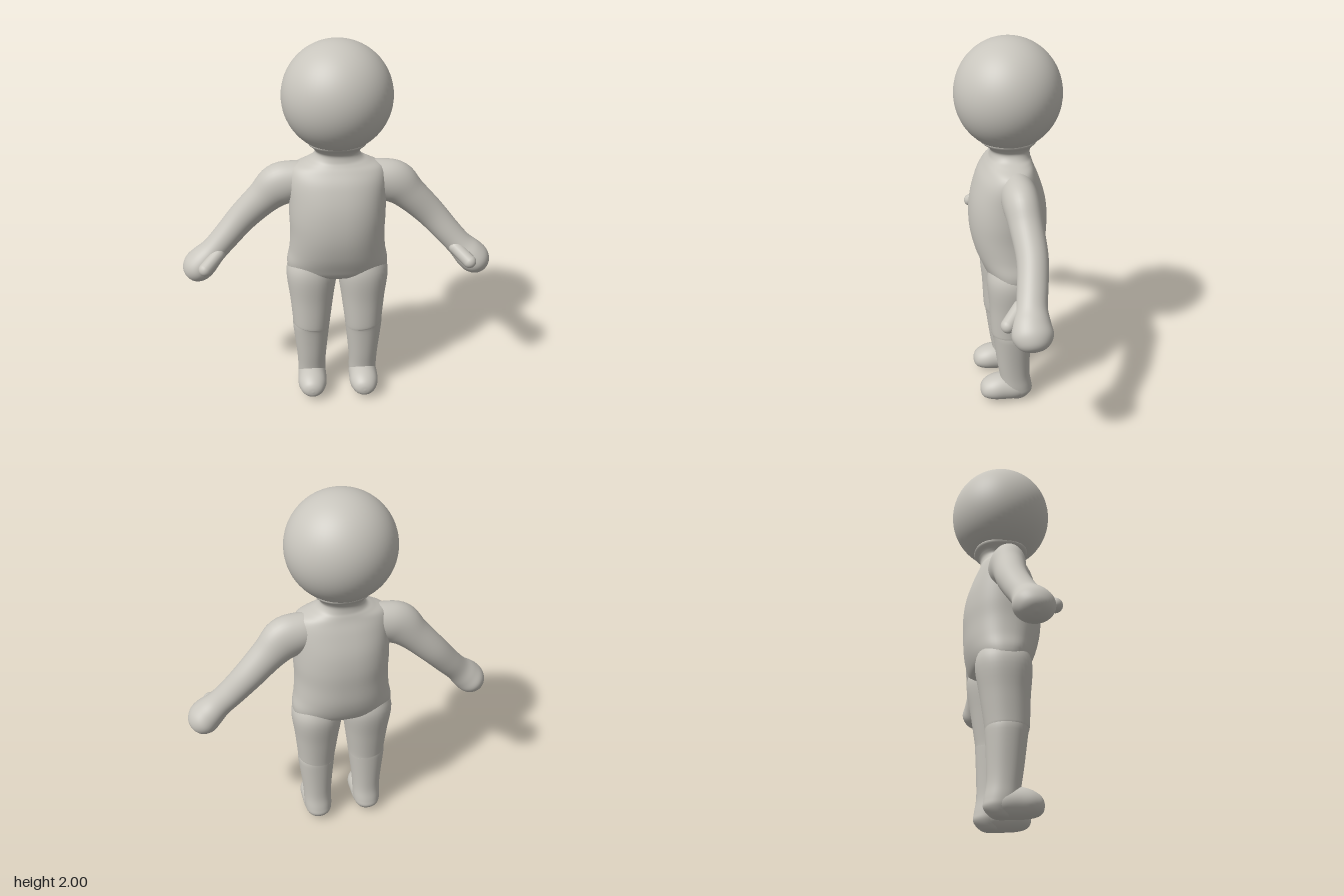
import * as THREE from 'three';
import { mergeVertices } from 'three/addons/utils/BufferGeometryUtils.js';

const skin = new THREE.MeshStandardMaterial({ color: 0xc8c5bd });
skin.name = 'warm grey';

// Smooth skin over rings [x, y, z, radius across the path, radius in z]
function loft(rings, power = 2, around = 40, perRing = 5) {
  const spline = (pts) => new THREE.CatmullRomCurve3(pts, false, 'catmullrom', 0.5);
  const centres = spline(rings.map((r) => new THREE.Vector3(r[0], r[1], r[2])));
  const radii = spline(rings.map((r) => new THREE.Vector3(r[3], r[4], 0)));
  const steps = (rings.length - 1) * perRing;
  const pos = [], index = [];
  const bend = (v) => Math.sign(v) * Math.abs(v) ** (2 / power);
  for (let i = 0; i <= steps; i++) {
    const c = centres.getPoint(i / steps);
    const r = radii.getPoint(i / steps);
    const t = centres.getTangent(i / steps).setZ(0).normalize();
    const a = Math.max(r.x, 0), b = Math.max(r.y, 0);
    for (let j = 0; j < around; j++) {
      const th = (j / around) * Math.PI * 2;
      const u = bend(Math.cos(th)) * a;
      pos.push(c.x + t.y * u, c.y - t.x * u, c.z - bend(Math.sin(th)) * b);
      if (i === steps) continue;
      const k = (j + 1) % around, p = i * around, q = p + around;
      index.push(p + j, p + k, q + j, p + k, q + k, q + j);
    }
  }
  let geo = new THREE.BufferGeometry();
  geo.setAttribute('position', new THREE.Float32BufferAttribute(pos, 3));
  geo.setIndex(index);
  geo = mergeVertices(geo, 1e-5);
  geo.computeVertexNormals();
  return geo;
}

export function createModel() {
  const model = new THREE.Group();
  model.name = 'figure';
  const add = (name, geo, parent = model) => {
    const mesh = new THREE.Mesh(geo, skin);
    mesh.name = name;
    parent.add(mesh);
    return mesh;
  };

  // Head
  const head = add('head', new THREE.SphereGeometry(0.275, 56, 40));
  head.position.y = 1.725;
  head.scale.z = 0.97;

  // Torso with hips below and the neck flaring into the head
  add('torso', loft([
    [0, 0.72, -0.01, 0, 0],
    [0, 0.735, -0.01, 0.15, 0.08],
    [0, 0.77, -0.01, 0.25, 0.13],
    [0, 0.82, -0.01, 0.268, 0.157],
    [0, 0.9, -0.004, 0.254, 0.183],
    [0, 1.0, 0.004, 0.247, 0.197],
    [0, 1.1, 0.005, 0.25, 0.2],
    [0, 1.2, 0.005, 0.25, 0.187],
    [0, 1.3, 0.005, 0.25, 0.155],
    [0, 1.36, 0, 0.23, 0.125],
    [0, 1.39, -0.005, 0.17, 0.11],
    [0, 1.41, -0.007, 0.13, 0.102],
    [0, 1.44, -0.008, 0.112, 0.1],
    [0, 1.465, -0.005, 0.125, 0.115],
    [0, 1.5, 0, 0.15, 0.145],
    [0, 1.55, 0, 0.1, 0.1],
  ], 2.25, 56));

  for (const [side, s] of [['left', 1], ['right', -1]]) {
    const mirror = (rings) => rings.map(([x, ...rest]) => [x * s, ...rest]);

    // Arm from inside the shoulder to a rounded hand
    const arm = new THREE.Group();
    arm.name = side + 'Arm';
    model.add(arm);
    add(side + 'ArmAndHand', loft(mirror([
      [0.1, 1.285, -0.012, 0.09, 0.08],
      [0.22, 1.275, -0.015, 0.106, 0.09],
      [0.3, 1.25, -0.017, 0.113, 0.09],
      [0.38, 1.18, -0.025, 0.09, 0.083],
      [0.49, 1.07, -0.033, 0.078, 0.077],
      [0.58, 0.97, -0.018, 0.071, 0.075],
      [0.65, 0.895, 0, 0.069, 0.076],
      [0.7, 0.845, 0.01, 0.08, 0.091],
      [0.74, 0.805, 0.01, 0.082, 0.098],
      [0.77, 0.775, 0.01, 0.066, 0.078],
      [0.787, 0.758, 0.01, 0.04, 0.046],
      [0.794, 0.751, 0.01, 0, 0],
    ])), arm);

    // Thumb pointing forward and down
    const from = new THREE.Vector3(0.625 * s, 0.893, 0.05);
    const to = new THREE.Vector3(0.69 * s, 0.842, 0.117);
    const dir = to.clone().sub(from);
    const thumb = add(side + 'Thumb', new THREE.CapsuleGeometry(0.035, dir.length(), 10, 20), arm);
    thumb.position.copy(from).add(to).multiplyScalar(0.5);
    thumb.quaternion.setFromUnitVectors(new THREE.Vector3(0, 1, 0), dir.normalize());

    // Leg, listed from the heel up
    const leg = new THREE.Group();
    leg.name = side + 'Leg';
    model.add(leg);
    add(side + 'LegAndHeel', loft(mirror([
      [0.145, 0, -0.02, 0, 0],
      [0.145, 0.01, -0.024, 0.045, 0.045],
      [0.145, 0.05, -0.03, 0.07, 0.077],
      [0.145, 0.09, -0.022, 0.077, 0.084],
      [0.145, 0.16, -0.012, 0.078, 0.083],
      [0.145, 0.25, -0.005, 0.084, 0.09],
      [0.145, 0.41, 0.002, 0.1, 0.104],
      [0.143, 0.45, 0.005, 0.102, 0.11],
      [0.14, 0.6, -0.003, 0.118, 0.125],
      [0.138, 0.76, -0.01, 0.135, 0.143],
      [0.135, 0.86, -0.01, 0.1, 0.12],
    ]), 2.15), leg);

    // Foot, lofted upright and then laid forward
    add(side + 'Foot', loft(mirror([
      [0.145, -0.1, -0.07, 0, 0],
      [0.145, -0.085, -0.072, 0.05, 0.045],
      [0.145, -0.03, -0.075, 0.076, 0.071],
      [0.145, 0.05, -0.08, 0.08, 0.076],
      [0.145, 0.11, -0.078, 0.077, 0.068],
      [0.145, 0.155, -0.073, 0.058, 0.05],
      [0.145, 0.175, -0.07, 0.031, 0.028],
      [0.145, 0.181, -0.07, 0, 0],
    ])).rotateX(Math.PI / 2), leg);
  }
  return model;
}
